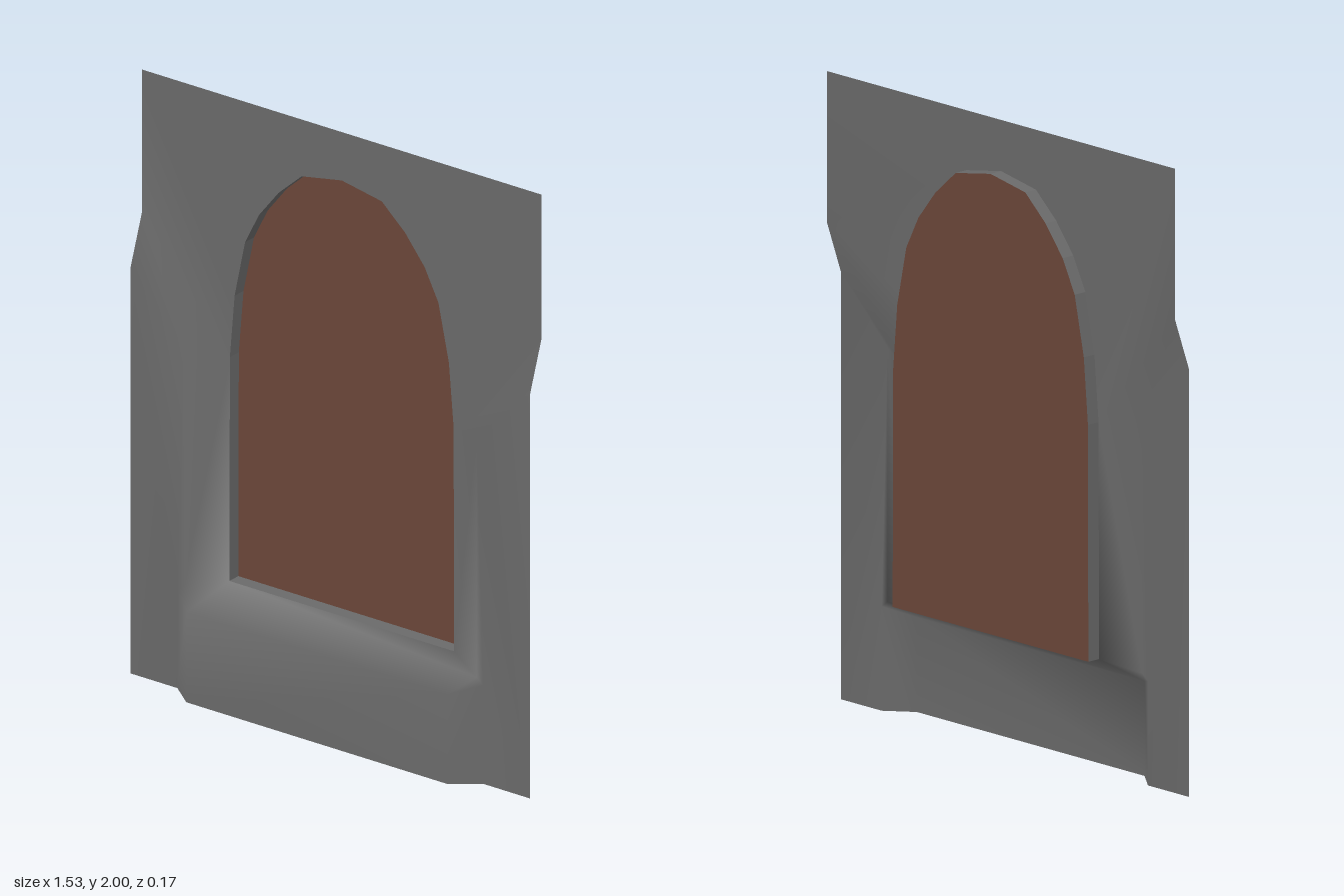
import * as THREE from 'three';
import { mergeVertices } from 'three/addons/utils/BufferGeometryUtils.js';

const BACK = -0.085, WALL = -0.04, PIER = 0.018, SILL = 0.085;

// Right half of the arched opening, from the foot to the crown
const HALF_ARCH = [
  [0.43, 0.38], [0.428, 1.13], [0.41, 1.34], [0.37, 1.53],
  [0.317, 1.635], [0.242, 1.73], [0.153, 1.81], [0, 1.838],
];
const ARCH = [...HALF_ARCH, ...HALF_ARCH.slice(0, -1).reverse().map(([x, y]) => [-x, y])];

const mirror = (points) => points.map(([x, y, z]) => [-x, y, z]);

// Fills forward-facing polygons and joins them into one smooth surface
function reliefGeometry(polygons) {
  const positions = [];
  for (const polygon of polygons) {
    let pts = polygon;
    let flat = pts.map(([x, y]) => new THREE.Vector2(x, y));
    if (THREE.ShapeUtils.isClockWise(flat)) {
      pts = [...pts].reverse();
      flat = [...flat].reverse();
    }
    for (const tri of THREE.ShapeUtils.triangulateShape(flat, [])) {
      for (const i of tri) positions.push(...pts[i]);
    }
  }
  const geometry = new THREE.BufferGeometry();
  geometry.setAttribute('position', new THREE.Float32BufferAttribute(positions, 3));
  const merged = mergeVertices(geometry, 1e-4);
  merged.computeVertexNormals();
  return merged;
}

// Band that joins the opening in the wall to the recessed panel
function revealGeometry() {
  const positions = [];
  ARCH.forEach(([ax, ay], i) => {
    const [bx, by] = ARCH[(i + 1) % ARCH.length];
    positions.push(
      ax, ay, WALL, ax, ay, BACK, bx, by, BACK,
      ax, ay, WALL, bx, by, BACK, bx, by, WALL,
    );
  });
  const geometry = new THREE.BufferGeometry();
  geometry.setAttribute('position', new THREE.Float32BufferAttribute(positions, 3));
  geometry.computeVertexNormals();
  return geometry;
}

export function createModel() {
  const stone = new THREE.MeshStandardMaterial({ color: 0x6a6a6a, side: THREE.DoubleSide });
  stone.name = 'grey stone';
  const wood = new THREE.MeshStandardMaterial({ color: 0x6b4739, side: THREE.DoubleSide });
  wood.name = 'brown panel';

  // Upper wall, running around the curved part of the arch
  const upperWall = [
    [-0.765, 2, WALL], [-0.765, 1.52, WALL],
    ...ARCH.slice(1, -1).reverse().map(([x, y]) => [x, y, WALL]),
    [0.765, 1.52, WALL], [0.765, 2, WALL],
  ];

  // One side: pier front, pier splay, pier shoulder, sill end and sill corner
  const side = [
    [[0.765, 0, PIER], [0.765, 1.355, PIER], [0.56, 1.155, PIER],
      [0.56, 0.35, PIER], [0.585, 0.33, PIER], [0.585, 0, PIER]],
    [[0.43, 0.38, WALL], [0.56, 0.35, PIER], [0.56, 1.155, PIER], [0.428, 1.13, WALL]],
    [[0.428, 1.13, WALL], [0.56, 1.155, PIER], [0.765, 1.355, PIER], [0.765, 1.52, WALL]],
    [[0.5, 0, SILL], [0.585, 0, PIER], [0.585, 0.33, PIER], [0.5, 0.3, SILL]],
    [[0.56, 0.35, PIER], [0.5, 0.3, SILL], [0.585, 0.33, PIER]],
  ];

  // Sill front and sloping sill top
  const sillFront = [[-0.5, 0, SILL], [0.5, 0, SILL], [0.5, 0.3, SILL], [-0.5, 0.3, SILL]];
  const sillTop = [
    [-0.5, 0.3, SILL], [0.5, 0.3, SILL], [0.56, 0.35, PIER],
    [0.43, 0.38, WALL], [-0.43, 0.38, WALL], [-0.56, 0.35, PIER],
  ];

  const wall = new THREE.Mesh(
    reliefGeometry([upperWall, ...side, ...side.map(mirror), sillFront, sillTop]), stone);
  wall.name = 'wallWithSill';

  const reveal = new THREE.Mesh(revealGeometry(), stone);
  reveal.name = 'archReveal';

  const shape = new THREE.Shape(ARCH.map(([x, y]) => new THREE.Vector2(x, y)));
  const panel = new THREE.Mesh(new THREE.ShapeGeometry(shape), wood);
  panel.position.z = BACK;
  panel.name = 'archPanel';

  const model = new THREE.Group();
  model.name = 'archedNiche';
  model.add(wall, reveal, panel);
  return model;
}
